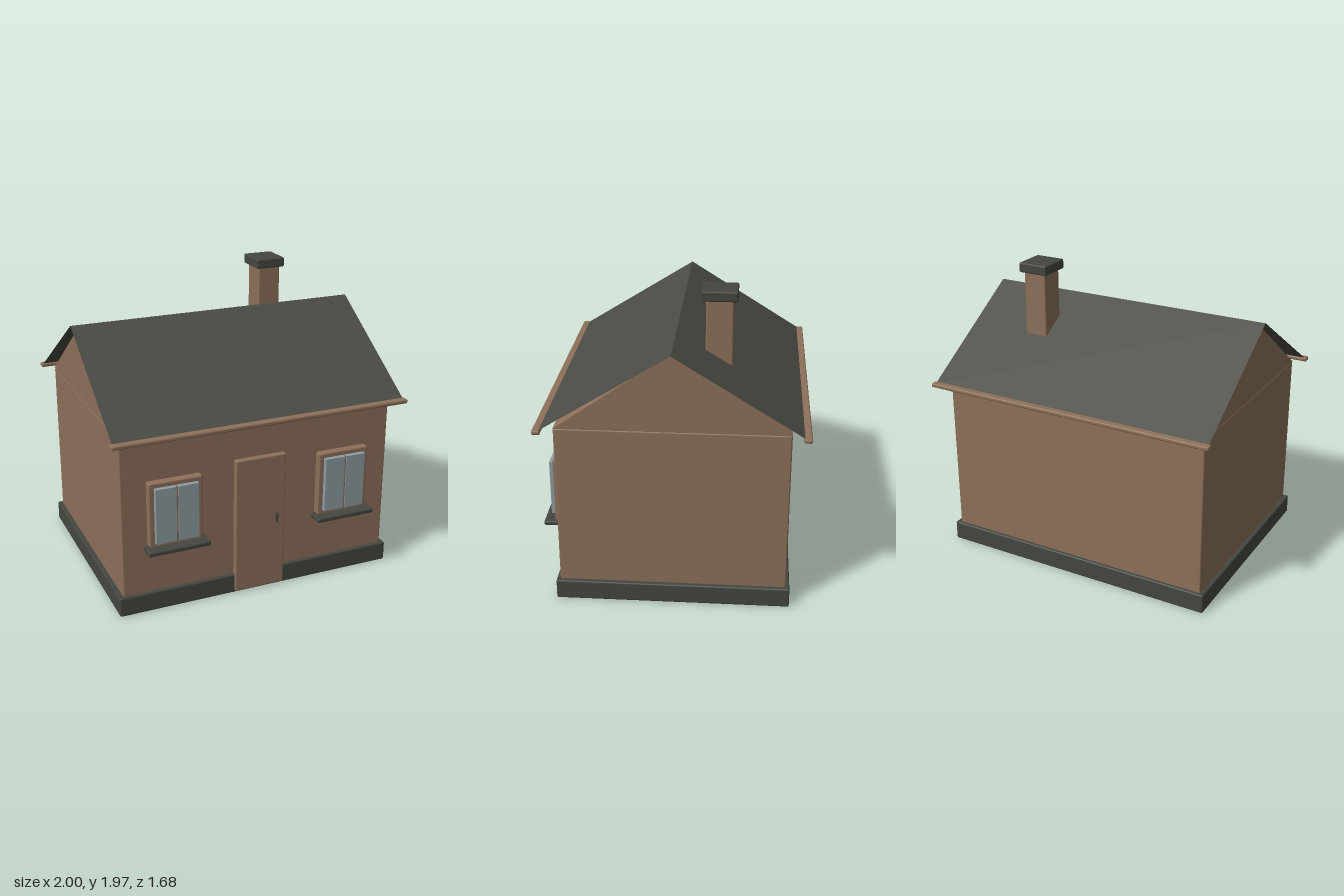
import * as THREE from 'three';
import { RoundedBoxGeometry } from 'three/addons/geometries/RoundedBoxGeometry.js';

const mat = (name, color) => {
  const m = new THREE.MeshStandardMaterial({ color });
  m.name = name;
  return m;
};

export function createModel() {
  const house = new THREE.Group();
  house.name = 'house';
  const wall = mat('warm brown', 0x8d705a);
  const roofing = mat('roof grey', 0x4a4b44);
  roofing.side = THREE.DoubleSide;
  const stone = mat('stone grey', 0x444740);
  const glass = mat('window glass', 0x8f9ea4);

  // Softly bevelled box given by its limits on each axis
  const box = (name, material, [x0, x1], [y0, y1], [z0, z1], bevel = 0.01, parent = house) => {
    const geo = new RoundedBoxGeometry(x1 - x0, y1 - y0, z1 - z0, 2, bevel);
    const mesh = new THREE.Mesh(geo, material);
    mesh.position.set((x0 + x1) / 2, (y0 + y1) / 2, (z0 + z1) / 2);
    mesh.name = name;
    parent.add(mesh);
    return mesh;
  };

  // Plinth and walls
  box('plinth', stone, [-0.955, 0.955], [0, 0.13], [-0.745, 0.745]);
  box('walls', wall, [-0.925, 0.925], [0.03, 1.19], [-0.722, 0.722]);

  // Gable prism under the roof
  const triangle = new THREE.Shape([
    new THREE.Vector2(-0.722, 1.19),
    new THREE.Vector2(0.722, 1.19),
    new THREE.Vector2(0, 1.697),
  ]);
  const gableGeo = new THREE.ExtrudeGeometry(triangle, { depth: 1.85, bevelEnabled: false });
  gableGeo.translate(0, 0, -0.925).rotateY(Math.PI / 2);
  const gable = new THREE.Mesh(gableGeo, wall);
  gable.name = 'gable';
  house.add(gable);

  // Thin roof slopes and eaves boards, front and back
  const ridgeY = 1.7, eaveY = 1.195, eaveZ = 0.81;
  for (const side of [1, -1]) {
    const geo = new THREE.PlaneGeometry(1.97, Math.hypot(ridgeY - eaveY, eaveZ));
    geo.rotateX(-Math.atan2(eaveZ, ridgeY - eaveY));
    geo.translate(0, (ridgeY + eaveY) / 2, eaveZ / 2);
    if (side < 0) geo.rotateY(Math.PI);
    const slope = new THREE.Mesh(geo, roofing);
    slope.name = side > 0 ? 'frontRoofSlope' : 'backRoofSlope';
    house.add(slope);
    const board = box('eavesBoard', wall, [-1, 1], [1.178, 1.206], [0.786, 0.838]);
    board.position.z *= side;
  }

  // Chimney
  box('chimneyStack', wall, [0.405, 0.562], [1.4, 1.91], [-0.35, -0.18]);
  box('chimneyCap', stone, [0.38, 0.585], [1.9, 1.965], [-0.375, -0.155]);

  // Door with handle
  box('door', wall, [-0.175, 0.172], [0.01, 0.937], [0.7, 0.758]);
  box('doorHandle', stone, [0.1, 0.117], [0.475, 0.535], [0.75, 0.778], 0.006);

  // Two windows: frame, a pair of panes and a sill
  for (const side of [-1, 1]) {
    const window = new THREE.Group();
    window.name = side > 0 ? 'leftWindow' : 'rightWindow';
    window.position.x = side * 0.582;
    box('windowFrame', wall, [-0.177, 0.177], [0.45, 0.893], [0.7, 0.77], 0.01, window);
    for (const s of [-1, 1]) {
      const pane = box('pane', glass, [0.005, 0.143], [0.49, 0.862], [0.765, 0.798], 0.003, window);
      pane.position.x *= s;
    }
    box('mullion', wall, [-0.005, 0.005], [0.49, 0.862], [0.765, 0.796], 0.002, window);
    box('windowSill', stone, [-0.205, 0.205], [0.434, 0.466], [0.73, 0.838], 0.01, window);
    house.add(window);
  }

  return house;
}
